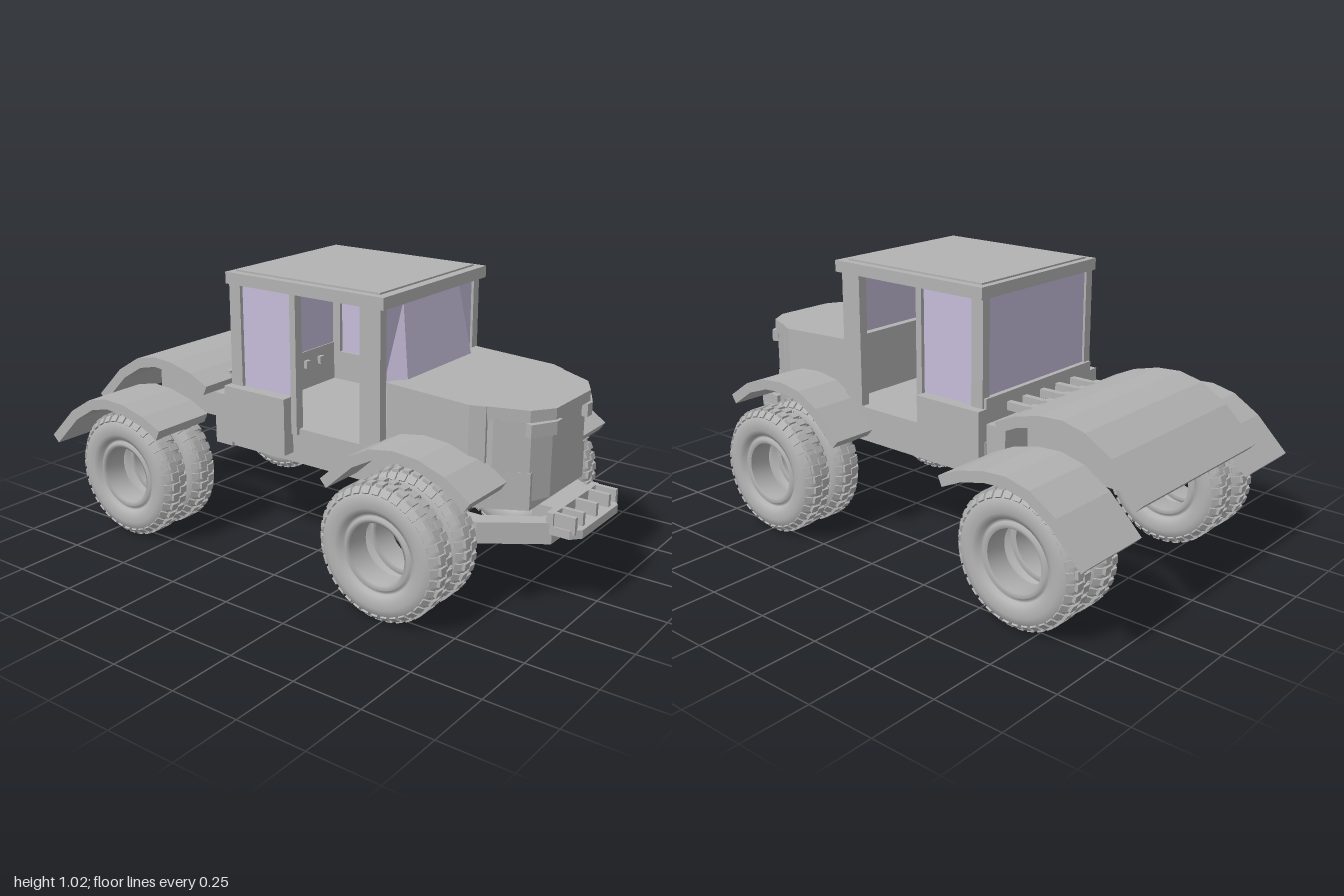
import * as THREE from 'three';
import { mergeGeometries } from 'three/addons/utils/BufferGeometryUtils.js';

export function createModel() {
  const root = new THREE.Group();
  root.name = 'tractor';
  const grey = new THREE.MeshStandardMaterial({ color: 0xb2b2b2, side: THREE.DoubleSide });
  grey.name = 'body grey';
  const glass = new THREE.MeshStandardMaterial({ color: 0xc4bcd8, side: THREE.DoubleSide });
  glass.name = 'window lavender';

  const add = (name, geo, mat = grey, parent = root) => {
    const m = new THREE.Mesh(geo, mat);
    m.name = name;
    parent.add(m);
    return m;
  };
  // box given by its limits
  const box = (name, x0, x1, y0, y1, z0, z1, mat, parent) =>
    add(name, new THREE.BoxGeometry(x1 - x0, y1 - y0, z1 - z0)
      .translate((x0 + x1) / 2, (y0 + y1) / 2, (z0 + z1) / 2), mat, parent);
  const shapeOf = (pts) => new THREE.Shape(pts.map(([a, b]) => new THREE.Vector2(a, b)));
  // side outline (z, y) pushed across x
  const acrossX = (pts, x0, x1) =>
    new THREE.ExtrudeGeometry(shapeOf(pts), { depth: x1 - x0, bevelEnabled: false })
      .rotateY(-Math.PI / 2).translate(x1, 0, 0);
  // half plan outline (x, z), mirrored and raised from y0 to y1
  const plan = (half, y0, y1) => {
    const pts = [...half, ...half.map(([x, z]) => [-x, z]).reverse()];
    return new THREE.ExtrudeGeometry(shapeOf(pts.map(([x, z]) => [x, -z])), { depth: y1 - y0, bevelEnabled: false })
      .rotateX(-Math.PI / 2).translate(-0.005, y0, 0);
  };
  // flat four-cornered pane
  const pane = (name, a, b, c, d, parent) => {
    const g = new THREE.BufferGeometry();
    g.setAttribute('position', new THREE.Float32BufferAttribute([a, b, c, a, c, d].flat(), 3));
    g.computeVertexNormals();
    return add(name, g, glass, parent);
  };

  // --- wheels: open-centred tyres with tread blocks, in pairs on both axles
  const side = [[0.107, 0.043], [0.122, 0.05], [0.128, 0.038], [0.138, 0.038], [0.142, 0.052],
    [0.16, 0.059], [0.185, 0.061], [0.208, 0.055], [0.224, 0.038], [0.231, 0.018]];
  const ring = [...side.map(([r, w]) => [r, -w]), ...[...side].reverse(), [0.107, -0.043]];
  const tyreGeo = new THREE.LatheGeometry(ring.map(([r, w]) => new THREE.Vector2(r, w)), 48)
    .rotateZ(Math.PI / 2);
  const lugs = [];
  const count = 36;
  for (let i = 0; i < count; i++) {
    for (const s of [-1, 1]) {
      const a = ((i + (s > 0 ? 0.5 : 0)) / count) * Math.PI * 2;
      lugs.push(new THREE.BoxGeometry(0.03, 0.012, 0.026).translate(s * 0.017, 0.232, 0).rotateX(a));
      lugs.push(new THREE.BoxGeometry(0.026, 0.012, 0.024).rotateZ(-s * 0.75)
        .translate(s * 0.045, 0.217, 0).rotateX(a));
    }
  }
  const lugGeo = mergeGeometries(lugs);
  for (const [axle, z] of [['front', 0.485], ['rear', -0.67]]) {
    for (const x of [-0.514, -0.367, 0.351, 0.498]) {
      const wheel = new THREE.Group();
      wheel.name = axle + 'Wheel';
      wheel.position.set(x, 0.245, z);
      add('tyre', tyreGeo, grey, wheel);
      add('tread', lugGeo, grey, wheel);
      root.add(wheel);
    }
  }

  // --- fenders: bent sheets
  const sheet = (pts, t) => {
    const inner = pts.map(([z, y], i) => {
      const p = pts[Math.max(i - 1, 0)], q = pts[Math.min(i + 1, pts.length - 1)];
      const l = Math.hypot(q[0] - p[0], q[1] - p[1]);
      return [z - (q[1] - p[1]) / l * t, y + (q[0] - p[0]) / l * t];
    });
    return [...pts, ...inner.reverse()];
  };
  const frontArc = sheet([[0.775, 0.465], [0.68, 0.53], [0.58, 0.565], [0.485, 0.573],
    [0.39, 0.558], [0.3, 0.51], [0.19, 0.41]], 0.038);
  const rearArc = [[-0.42, 0.59], [-0.5, 0.627], [-0.6, 0.652], [-0.69, 0.657],
    [-0.78, 0.636], [-0.88, 0.575], [-1.0, 0.455]];
  const highArc = sheet(rearArc, 0.038);
  const lowArc = sheet(rearArc.map(([z, y]) => [z, y - 0.103]), 0.038);
  add('frontFenderRight', acrossX(frontArc, -0.475, -0.25));
  add('frontFenderLeft', acrossX(frontArc, 0.25, 0.47));
  add('rearFenderRight', acrossX(lowArc, -0.617, -0.37));
  add('rearFenderLeft', acrossX(lowArc, 0.335, 0.613));
  add('rearDeck', acrossX(highArc, -0.37, 0.335));

  // --- chassis and rear frame
  add('chassis', plan([[0.3, -0.35], [0.3, 0.6], [0.27, 0.68], [0.19, 0.83]], 0.36, 0.49));
  box('rearFrame', -0.18, 0.17, 0.4, 0.555, -0.85, -0.35);
  box('rearCrossBeam', -0.315, 0.29, 0.36, 0.555, -0.43, -0.35);
  for (const x of [-0.2, -0.11, -0.02, 0.08, 0.165]) {
    box('rearLever', x - 0.012, x + 0.012, 0.575, 0.605, -0.46, -0.3);
    box('leverEnd', x - 0.018, x + 0.018, 0.572, 0.61, -0.47, -0.44);
  }

  // --- front bracket and weight carrier
  for (const s of [-1, 1]) {
    const arm = [[0.3, 0.6], [0.3, 0.7], [0.16, 0.9], [0.08, 0.9], [0.08, 0.86], [0.13, 0.85], [0.24, 0.68], [0.24, 0.6]];
    const g = new THREE.ExtrudeGeometry(shapeOf(arm.map(([x, z]) => [s * x, -z])), { depth: 0.075, bevelEnabled: false });
    add('frontBracketArm', g.rotateX(-Math.PI / 2).translate(-0.005, 0.25, 0));
  }
  add('frontBumper', plan([[0.165, 0.89], [0.165, 0.965], [0.13, 0.995]], 0.285, 0.315));
  box('bumperBack', -0.17, 0.16, 0.3, 0.36, 0.88, 0.905);
  for (const x of [-0.155, -0.1, -0.005, 0.09, 0.145])
    box('bumperRib', x - 0.008, x + 0.008, 0.3, 0.36, 0.9, 0.98);
  box('bumperMount', -0.115, 0.105, 0.27, 0.355, 0.8, 0.9);

  // --- hood with a gently falling top, grille and lamps
  const fallTop = (g) => {
    const p = g.attributes.position;
    for (let i = 0; i < p.count; i++)
      if (p.getY(i) > 0.7) p.setY(i, 0.725 - (p.getZ(i) - 0.33) * 0.045);
    g.computeVertexNormals();
    return g;
  };
  add('hood', fallTop(plan([[0.285, 0.33], [0.285, 0.65], [0.262, 0.7]], 0.47, 0.72)));
  add('hoodNose', fallTop(plan([[0.262, 0.69], [0.2, 0.825], [0.12, 0.875]], 0.662, 0.72)));
  add('grille', plan([[0.255, 0.67], [0.25, 0.72], [0.19, 0.825], [0.11, 0.86]], 0.39, 0.67));
  for (const s of [-1, 1]) {
    const lamp = [[0.09, 0.85], [0.09, 0.882], [0.125, 0.882], [0.21, 0.835], [0.2, 0.81]];
    const g = new THREE.ExtrudeGeometry(shapeOf(lamp.map(([x, z]) => [s * x, -z])), { depth: 0.045, bevelEnabled: false });
    add('headlamp', g.rotateX(-Math.PI / 2).translate(-0.005, 0.614, 0));
  }

  // --- cab
  const cab = new THREE.Group();
  cab.name = 'cab';
  cab.position.x = -0.013;
  root.add(cab);
  box('roof', -0.32, 0.32, 0.98, 1.022, -0.34, 0.345, grey, cab);
  box('roofPanel', -0.29, 0.29, 1.02, 1.028, -0.315, 0.31, grey, cab);
  for (const s of [-1, 1]) {
    const sideBox = (name, xa, xb, y0, y1, z0, z1, mat) =>
      box(name, Math.min(s * xa, s * xb), Math.max(s * xa, s * xb), y0, y1, z0, z1, mat, cab);
    sideBox('frontPillar', 0.272, 0.307, 0.47, 0.985, 0.24, 0.325);
    sideBox('middlePillar', 0.272, 0.307, 0.47, 0.985, -0.06, -0.035);
    sideBox('rearPillar', 0.272, 0.307, 0.47, 0.985, -0.335, -0.285);
    sideBox('sidePanel', 0.272, 0.34, 0.395, 0.605, -0.345, -0.065);
    sideBox('sideWindow', 0.287, 0.293, 0.6, 0.982, -0.288, -0.055, glass);
    pane('windshieldCorner', [s * 0.172, 0.982, 0.322], [s * 0.203, 0.71, 0.366],
      [s * 0.274, 0.71, 0.315], [s * 0.274, 0.982, 0.315], cab);
  }
  pane('windshield', [-0.172, 0.982, 0.322], [-0.203, 0.71, 0.366],
    [0.203, 0.71, 0.366], [0.172, 0.982, 0.322], cab);
  box('rearWall', -0.3, 0.3, 0.47, 0.64, -0.345, -0.315, grey, cab);
  box('rearWindow', -0.274, 0.274, 0.635, 0.982, -0.326, -0.32, glass, cab);

  return root;
}
